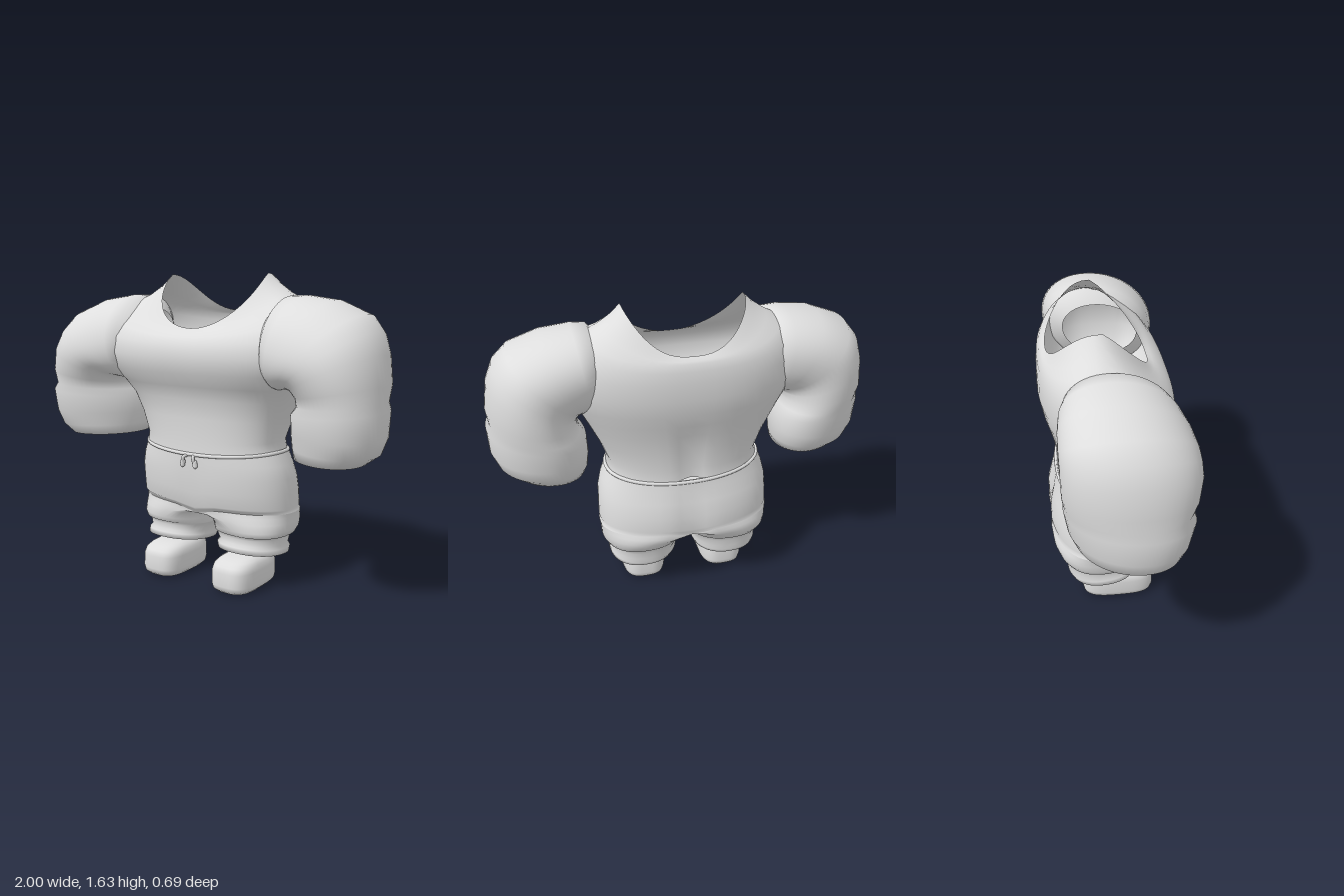
import * as THREE from 'three';

const SEG = 56;
const cloth = new THREE.MeshStandardMaterial({ color: 0xdedede, side: THREE.DoubleSide });
cloth.name = 'light grey cloth';

// Signed power, which squares off a circle into a superellipse
const sp = (v, e) => Math.sign(v) * Math.pow(Math.abs(v), 2 / e);

// Skin a list of rows, bottom to top; pointAt(row, c, s) gives a point on the ring
function loft(name, rows, pointAt, { exp = 2.3, side = 1, capEnds = false } = {}) {
  const pos = [], idx = [];
  rows.forEach((row) => {
    for (let j = 0; j < SEG; j++) {
      const a = (j / SEG) * Math.PI * 2;
      const [x, y, z] = pointAt(row, sp(Math.cos(a), exp), sp(Math.sin(a), exp));
      pos.push(side * x, y, z);
    }
  });
  const tri = (a, b, c) => (side > 0 ? idx.push(a, b, c) : idx.push(a, c, b));
  for (let i = 0; i < rows.length - 1; i++) {
    for (let j = 0; j < SEG; j++) {
      const k = (j + 1) % SEG, a = i * SEG + j, b = i * SEG + k;
      tri(a, a + SEG, b + SEG);
      tri(a, b + SEG, b);
    }
  }
  if (capEnds) {
    const top = (rows.length - 1) * SEG;
    for (let j = 1; j < SEG - 1; j++) {
      tri(0, j, j + 1);
      tri(top, top + j + 1, top + j);
    }
  }
  const g = new THREE.BufferGeometry();
  g.setAttribute('position', new THREE.Float32BufferAttribute(pos, 3));
  g.setIndex(idx);
  g.computeVertexNormals();
  const mesh = new THREE.Mesh(g, cloth);
  mesh.name = name;
  return mesh;
}

// z on a ring with separate front and back depths
const depth = (s, zf, zb) => (zf + zb) / 2 + (s * (zf - zb)) / 2;

// Trouser point with a soft crease and a crotch dip on the middle line
const creased = (x, y, z, k) => [
  x,
  y - 0.35 * k * Math.exp(-((x / 0.08) ** 2)),
  z * (1 - k * Math.exp(-((x / 0.07) ** 2))),
];

function shirtBody() {
  // side y, front y, back y, half width, front z, back z, back fold, front roundness
  const rows = [
    [0.735, 0.715, 0.72, 0.41, 0.21, -0.262, 0.03, 0.9],
    [0.79, 0.78, 0.78, 0.4, 0.208, -0.258, 0.03, 0.9],
    [0.9, 0.9, 0.9, 0.44, 0.212, -0.268, 0.025, 0.85],
    [1.0, 1.0, 1.0, 0.485, 0.225, -0.29, 0.015, 0.75],
    [1.07, 1.07, 1.07, 0.52, 0.26, -0.308, 0, 0.6],
    [1.14, 1.14, 1.14, 0.56, 0.305, -0.328, 0, 0.5],
    [1.24, 1.22, 1.23, 0.6, 0.322, -0.345, 0, 0.45],
    [1.36, 1.285, 1.32, 0.6, 0.31, -0.343, 0, 0.5],
    [1.45, 1.32, 1.38, 0.56, 0.28, -0.338, 0, 0.6],
    [1.505, 1.342, 1.415, 0.495, 0.25, -0.325, 0, 0.7],
    [1.545, 1.35, 1.424, 0.415, 0.232, -0.316, 0, 0.85],
    [1.59, 1.355, 1.432, 0.35, 0.218, -0.308, 0, 0.95],
    [1.635, 1.36, 1.44, 0.303, 0.205, -0.295, 0, 1],
  ];
  return loft('shirtBody', rows, ([ys, yf, yb, hw, zf, zb, fold, round], c, s) => {
    const x = hw * c;
    if (s > 0) {
      // the front neckline dips in a half circle
      const rise = 1 - Math.sqrt(Math.max(0, 1 - c * c));
      return [x, yf + (ys - yf) * rise, depth(Math.pow(s, round), zf, zb)];
    }
    const z = depth(s, zf, zb) + fold * Math.exp(-((x / 0.05) ** 2));
    return [x, yb + (ys - yb) * Math.pow(Math.abs(c), 2.7), z];
  }, { exp: 2.35 });
}

function sleeve(side) {
  // outer x, y, inner x, y, front z, back z, backward lean of the outer edge
  const rows = [
    [0.84, 0.755, 0.57, 0.76, 0.17, -0.14, -0.03],
    [0.9, 0.742, 0.52, 0.748, 0.235, -0.18, -0.04],
    [0.965, 0.79, 0.505, 0.8, 0.26, -0.22, -0.05],
    [0.995, 0.87, 0.5, 0.87, 0.285, -0.248, -0.055],
    [1.0, 1.0, 0.505, 0.96, 0.308, -0.265, -0.055],
    [0.982, 1.035, 0.535, 1.0, 0.292, -0.265, -0.05],
    [0.99, 1.12, 0.545, 1.04, 0.32, -0.275, -0.035],
    [0.968, 1.26, 0.535, 1.07, 0.342, -0.28, -0.01],
    [0.93, 1.36, 0.52, 1.075, 0.342, -0.28, 0.015],
    [0.86, 1.44, 0.5, 1.075, 0.338, -0.28, 0.04],
    [0.7, 1.505, 0.48, 1.07, 0.322, -0.275, 0.05],
    [0.54, 1.527, 0.465, 1.07, 0.3, -0.262, 0.05],
    [0.46, 1.525, 0.45, 1.08, 0.278, -0.24, 0.05],
    [0.4, 1.45, 0.42, 1.15, 0.22, -0.18, 0.03],
  ];
  return loft(side > 0 ? 'leftSleeve' : 'rightSleeve', rows, ([ox, oy, ix, iy, zf, zb, lean], c, s) => [
    (ox + ix) / 2 + (c * (ox - ix)) / 2,
    (oy + iy) / 2 + (c * (oy - iy)) / 2,
    depth(s, zf, zb) - lean * c,
  ], { exp: 2.08, side });
}

const HIP = [0.415, 0.47, 0.165, -0.315, 0.1]; // ring shared by hips and legs

function hips() {
  // y, half width, front z, back z, crease
  const rows = [
    HIP,
    [0.43, 0.464, 0.178, -0.313, 0.08],
    [0.442, 0.468, 0.192, -0.316, 0.07],
    [0.52, 0.466, 0.205, -0.315, 0.06],
    [0.6, 0.462, 0.213, -0.295, 0.04],
    [0.67, 0.445, 0.213, -0.274, 0.02],
    [0.725, 0.415, 0.212, -0.264, 0],
  ];
  return loft('hips', rows, ([y, hw, zf, zb, k], c, s) =>
    creased(hw * c, y + (y > 0.7 ? 0.02 * c * c : 0), depth(s, zf, zb), k));
}

function trouserLeg(side) {
  // y, inner x, middle x, outer x, front z, back z, slope along z, crease
  const rows = [
    [0.19, 0.085, 0.24, 0.4, 0.125, -0.2, 0.11, 0],
    [0.187, 0.055, 0.24, 0.42, 0.147, -0.22, 0.11, 0],
    [0.216, 0.045, 0.24, 0.42, 0.147, -0.235, 0.11, 0],
    [0.232, 0.055, 0.24, 0.408, 0.128, -0.225, 0.1, 0],
    [0.27, 0.036, 0.24, 0.415, 0.133, -0.24, 0.05, 0],
    [0.285, 0.026, 0.24, 0.415, 0.133, -0.237, 0.03, 0],
    [0.29, 0.022, 0.24, 0.445, 0.142, -0.252, 0.02, 0],
    [0.32, 0.02, 0.225, 0.46, 0.152, -0.28, 0, 0],
    [0.362, 0.018, 0.17, 0.463, 0.157, -0.305, 0, 0],
    [0.392, 0.012, 0.08, 0.465, 0.16, -0.313, 0, 0.06],
    [HIP[0], 0, 0, HIP[1], HIP[2], HIP[3], 0, HIP[4]],
  ];
  return loft(side > 0 ? 'leftTrouserLeg' : 'rightTrouserLeg', rows,
    ([y, xi, xm, xo, zf, zb, slope, k], c, s) => {
      const x = xm + c * (c > 0 ? xo - xm : xm - xi);
      const z = depth(s, zf, zb);
      return creased(x, y + slope * z, z, k);
    }, { side });
}

function shoe(side) {
  // y, half width, front z, back z
  const rows = [
    [0.002, 0.085, 0.2, -0.12],
    [0.004, 0.1, 0.215, -0.135],
    [0.02, 0.117, 0.235, -0.15],
    [0.045, 0.123, 0.242, -0.155],
    [0.115, 0.122, 0.239, -0.153],
    [0.145, 0.115, 0.226, -0.148],
    [0.163, 0.1, 0.195, -0.14],
    [0.173, 0.082, 0.15, -0.12],
    [0.18, 0.06, 0.11, -0.09],
  ];
  return loft(side > 0 ? 'leftShoe' : 'rightShoe', rows,
    ([y, hw, zf, zb], c, s) => [0.229 + hw * c, y, depth(s, zf, zb)],
    { exp: 3.2, side, capEnds: true });
}

function waistband() {
  const pts = [];
  for (let j = 0; j < SEG; j++) {
    const a = (j / SEG) * Math.PI * 2;
    const c = sp(Math.cos(a), 2.3), s = sp(Math.sin(a), 2.3);
    pts.push(new THREE.Vector3(0.414 * c, 0.712 + 0.025 * c * c, depth(s, 0.213, -0.265)));
  }
  const curve = new THREE.CatmullRomCurve3(pts, true);
  const mesh = new THREE.Mesh(new THREE.TubeGeometry(curve, 80, 0.01, 8, true), cloth);
  mesh.name = 'waistband';
  return mesh;
}

// Short hanging cord with a thicker tip
function drawstring(side) {
  const group = new THREE.Group();
  group.name = side > 0 ? 'leftDrawstring' : 'rightDrawstring';
  const path = new THREE.CatmullRomCurve3([
    new THREE.Vector3(side * 0.022, 0.705, 0.215),
    new THREE.Vector3(side * 0.03, 0.7, 0.232),
    new THREE.Vector3(side * 0.036, 0.67, 0.228),
  ]);
  const cord = new THREE.Mesh(new THREE.TubeGeometry(path, 10, 0.009, 8), cloth);
  cord.name = 'cord';
  const tip = new THREE.Mesh(new THREE.CapsuleGeometry(0.013, 0.02, 4, 10), cloth);
  tip.name = 'cordTip';
  tip.position.set(side * 0.039, 0.665, 0.225);
  tip.rotation.z = side * 0.15;
  group.add(cord, tip);
  return group;
}

export function createModel() {
  const model = new THREE.Group();
  model.name = 'muscularOutfit';
  model.add(shirtBody(), hips(), waistband());
  for (const side of [1, -1]) {
    model.add(sleeve(side), trouserLeg(side), shoe(side), drawstring(side));
  }
  return model;
}
